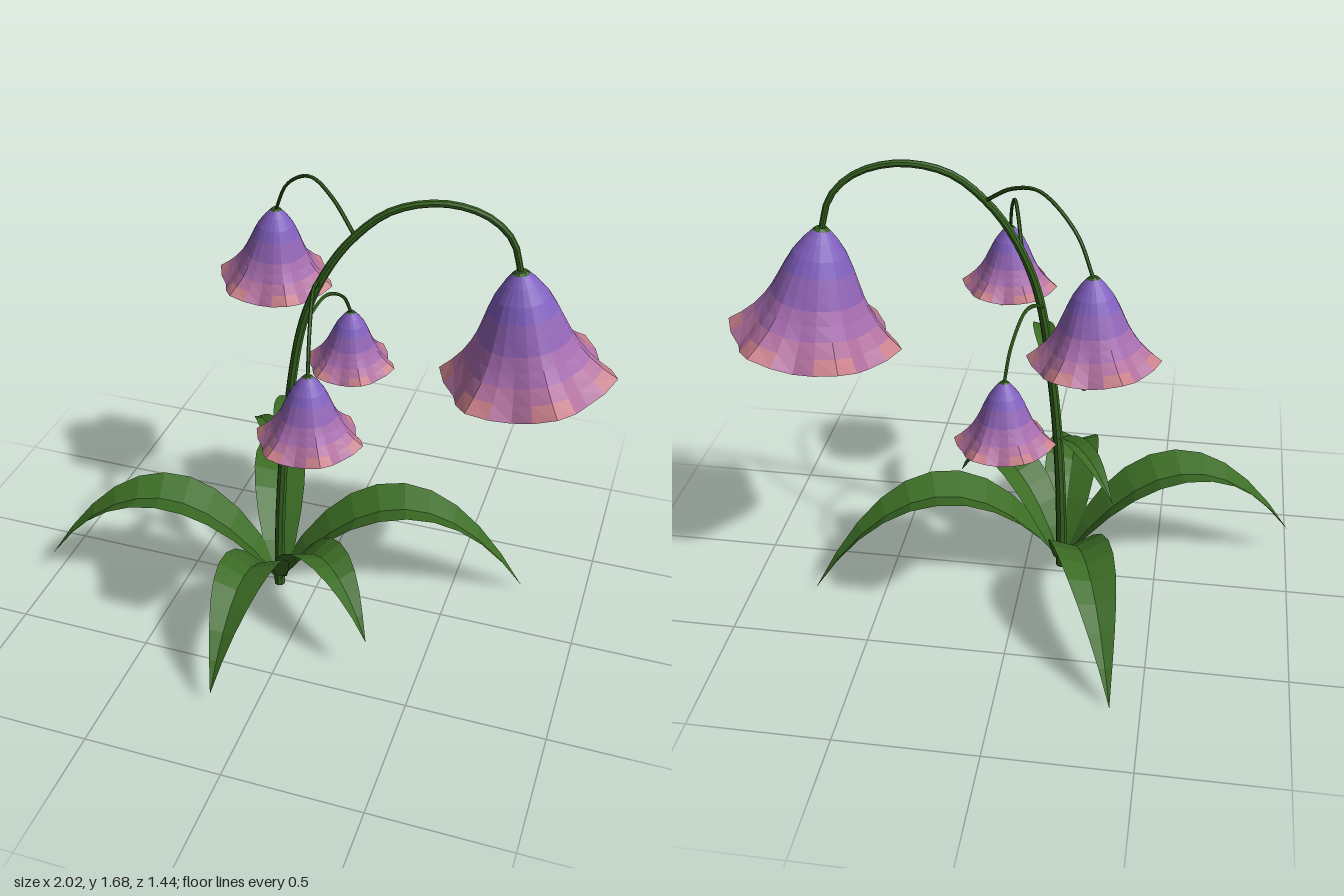
import * as THREE from 'three';

const V = (x, y, z) => new THREE.Vector3(x, y, z);
const mat = (name, color, side = THREE.FrontSide) =>
  new THREE.MeshStandardMaterial({ name, color, side, flatShading: true });

export function createModel() {
  const root = new THREE.Group();
  root.name = 'bellflowerPlant';
  const D = THREE.DoubleSide;
  const stemGreen = mat('stemGreen', 0x35631f);
  const leafGreen = mat('leafGreen', 0x3b6c24, D);
  const gold = mat('stamenGold', 0xa68a48);
  const petals = [
    mat('petalPurple', 0x805fbe, D), mat('petalViolet', 0x9164b6, D),
    mat('petalMauve', 0xa56bae, D), mat('petalPink', 0xb2709f, D),
    mat('petalSalmon', 0xc67d88, D),
  ];

  const add = (parent, name, geo, material) => {
    const m = new THREE.Mesh(geo, material);
    m.name = name;
    parent.add(m);
    return m;
  };

  // Tube along a smooth path, narrowing from r0 to r1
  function taperedTube(points, r0, r1, segs, sides) {
    const curve = new THREE.CatmullRomCurve3(points);
    const geo = new THREE.TubeGeometry(curve, segs, 1, sides);
    const pos = geo.attributes.position, v = V(0, 0, 0);
    for (let i = 0; i < pos.count; i++) {
      const t = Math.floor(i / (sides + 1)) / segs;
      const c = curve.getPointAt(t);
      v.fromBufferAttribute(pos, i).sub(c).multiplyScalar(r0 + (r1 - r0) * t).add(c);
      pos.setXYZ(i, v.x, v.y, v.z);
    }
    return geo;
  }

  // Main stem, arching in one upright plane
  const onStem = (x, y) => V(x, y, 0.03 - (x + 0.14) * 0.185);
  const stemPath = [[-0.14, 0.015], [-0.13, 0.4], [-0.1, 0.8], [-0.04, 1.2], [0.04, 1.4], [0.13, 1.53],
    [0.25, 1.63], [0.41, 1.665], [0.55, 1.63], [0.635, 1.55], [0.67, 1.43]];
  add(root, 'mainStem', taperedTube(stemPath.map(([x, y]) => onStem(x, y)), 0.021, 0.011, 48, 8), stemGreen);
  add(root, 'stemFoot', new THREE.CylinderGeometry(0.021, 0.021, 0.02, 8), stemGreen)
    .position.set(-0.14, 0.024, 0.03);

  // Side stalks: start on the stem, crown, and flower top
  const stalks = [
    [onStem(0.13, 1.53), V(-0.08, 1.64, -0.19), V(-0.265, 1.425, -0.34)],
    [onStem(0.01, 1.34), V(0.068, 1.43, 0.235), V(0.115, 1.245, 0.42)],
    [onStem(-0.06, 1.13), V(-0.022, 1.2, -0.18), V(0.015, 1.04, -0.365)],
  ];
  for (const [a, crown, b] of stalks) {
    const rise = a.clone().lerp(crown, 0.5); rise.y += (crown.y - a.y) * 0.25;
    const fall = crown.clone().lerp(b, 0.68); fall.y += (crown.y - b.y) * 0.26;
    add(root, 'flowerStalk', taperedTube([a, rise, crown, fall, b], 0.007, 0.006, 24, 6), stemGreen);
  }

  // Bell: profile of [depth, radius], six lobes growing toward the rim
  const profile = [[0, 0.1], [0.08, 0.2], [0.2, 0.32], [0.33, 0.41], [0.45, 0.48], [0.57, 0.55],
    [0.68, 0.63], [0.79, 0.73], [0.9, 0.86], [1, 1]];
  const bandOfRow = [0, 0, 0, 1, 1, 2, 2, 3, 3];
  function bellGeometry(r, h) {
    const N = 24, pos = [], idx = [], geo = new THREE.BufferGeometry();
    profile.forEach(([d, w]) => {
      for (let j = 0; j < N; j++) {
        const a = j / N * Math.PI * 2, lobe = Math.cos(6 * a) * d ** 3;
        const rad = r * w * (1 + 0.055 * lobe + 0.025 * d * Math.cos(6 * a));
        pos.push(Math.cos(a) * rad, -h * d + 0.035 * h * lobe, Math.sin(a) * rad);
      }
    });
    bandOfRow.forEach((band, i) => {
      for (let j = 0; j < N; j++) {
        const a = i * N + j, b = i * N + (j + 1) % N;
        const tip = Math.cos(6 * (j + 0.5) / N * Math.PI * 2) > 0;
        const m = i === 8 && tip ? 4 : band;
        geo.addGroup(idx.length, 6, m);
        idx.push(a, b, a + N, b, b + N, a + N);
      }
    });
    geo.setAttribute('position', new THREE.Float32BufferAttribute(pos, 3));
    geo.setIndex(idx);
    geo.computeVertexNormals();
    return geo;
  }

  // Straight filament ending in an oval anther
  function stamen(parent, name, end, r) {
    const start = V(end.x * 0.2, -0.1 * r, end.z * 0.2);
    const dir = end.clone().sub(start), len = dir.length();
    const g = new THREE.Group();
    g.name = name;
    g.position.copy(start);
    g.quaternion.setFromUnitVectors(V(0, -1, 0), dir.normalize());
    add(g, 'filament', new THREE.CylinderGeometry(0.016 * r, 0.02 * r, len, 5), gold).position.y = -len / 2;
    const anther = add(g, 'anther', new THREE.SphereGeometry(0.062 * r, 7, 5), gold);
    anther.scale.y = 1.5;
    anther.position.y = -len;
    parent.add(g);
  }

  function flower(top, rimCentre, r) {
    const h = r * 1.41, g = new THREE.Group();
    g.name = 'bellFlower';
    g.position.copy(top);
    g.quaternion.setFromUnitVectors(V(0, -1, 0), rimCentre.clone().sub(top).normalize());
    add(g, 'bell', bellGeometry(r, h), petals);
    add(g, 'calyx', new THREE.CylinderGeometry(0.07 * r, 0.125 * r, 0.06 * r, 8), stemGreen);
    for (let i = 0; i < 6; i++) {
      const a = i / 6 * Math.PI * 2 + 0.3;
      stamen(g, 'stamen', V(Math.cos(a) * 0.19 * r, -h * (1.17 + 0.05 * (i % 3)), Math.sin(a) * 0.19 * r), r);
    }
    stamen(g, 'pistil', V(0.02 * r, -h * 1.3, 0), r);
    root.add(g);
  }
  flower(V(0.67, 1.435, -0.12), V(0.72, 1.02, -0.14), 0.287);
  flower(stalks[0][2], V(-0.275, 1.14, -0.355), 0.203);
  flower(stalks[1][2], V(0.12, 1.0, 0.422), 0.168);
  flower(stalks[2][2], V(0.012, 0.81, -0.378), 0.16);

  // Arching leaf with a V-shaped cross-section
  function leaf(name, base, tip, crownY, width, baseWidth) {
    const mid = base.clone().lerp(tip, 0.5);
    mid.y = 2 * crownY - (base.y + tip.y) / 2;
    const curve = new THREE.QuadraticBezierCurve3(base, mid, tip);
    const side = V(tip.z - base.z, 0, base.x - tip.x).normalize();
    const n = 10, pos = [], idx = [];
    for (let i = 0; i <= n; i++) {
      const t = i / n, p = curve.getPoint(t);
      const up = curve.getTangent(t).cross(side).normalize();
      if (up.y < 0) up.negate();
      const w = 0.5 * width * (Math.sin(Math.PI * t ** 0.85) + baseWidth * (1 - t) ** 2);
      for (const s of [-1, 0, 1]) {
        const q = p.clone().addScaledVector(side, s * w).addScaledVector(up, Math.abs(s) * w * 0.35);
        pos.push(q.x, q.y, q.z);
      }
      if (i < n) for (const k of [0, 1]) {
        const a = i * 3 + k;
        idx.push(a, a + 1, a + 3, a + 1, a + 4, a + 3);
      }
    }
    const geo = new THREE.BufferGeometry();
    geo.setAttribute('position', new THREE.Float32BufferAttribute(pos, 3));
    geo.setIndex(idx);
    geo.computeVertexNormals();
    add(root, name, geo, leafGreen);
  }
  const tips = [
    [V(-1.0, 0.11, 0.25), 0.4, 0.21], [V(0.76, 0.015, -0.25), 0.38, 0.21], [V(-0.15, 0.06, 0.72), 0.325, 0.18],
    [V(-0.395, 0.002, -0.72), 0.32, 0.18], [V(0.32, 0.16, 0.4), 0.345, 0.16],
  ];
  for (const [tip, crown, width] of tips) {
    const out = V(tip.x + 0.14, 0, tip.z - 0.03).setLength(0.012);
    leaf('basalLeaf', V(-0.14, 0.05, 0.03).add(out), tip, crown, width, 0.35);
  }
  leaf('stemLeaf', V(-0.12, 0.59, 0.025), V(-0.35, 0.54, -0.29), 0.635, 0.075, 0.25);
  leaf('stemLeaf', V(-0.09, 0.88, 0.02), V(0.01, 0.85, 0.4), 0.94, 0.075, 0.25);

  return root;
}
